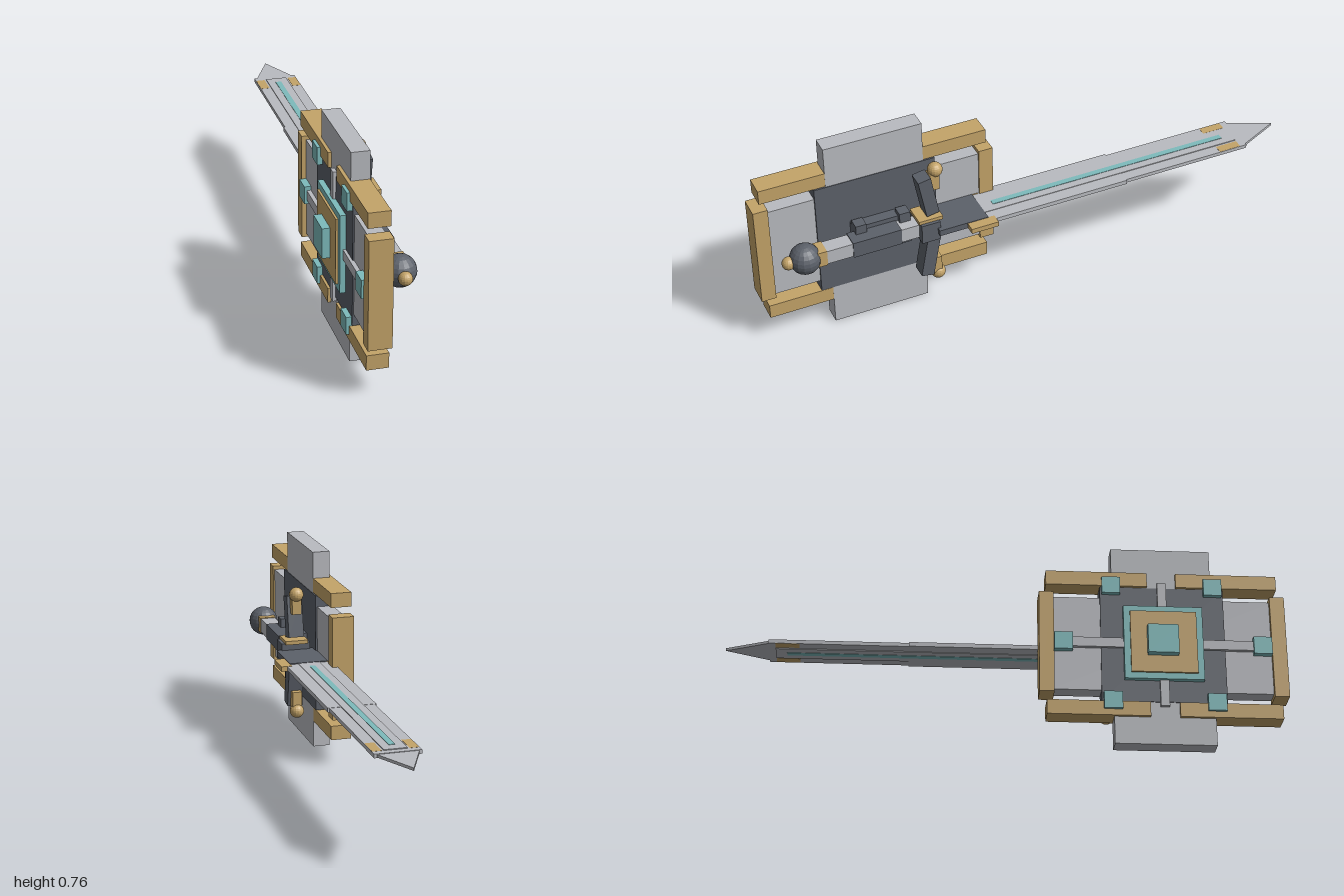
import * as THREE from 'three';

export function createModel() {
  const model = new THREE.Group();
  const mat = (name, color) => {
    const m = new THREE.MeshStandardMaterial({ color, flatShading: true });
    m.name = name;
    return m;
  };
  const steel = mat('light steel', 0xb9bbc0);
  const dark = mat('dark iron', 0x5c616a);
  const gold = mat('gold', 0xc4a469);
  const teal = mat('teal', 0x7dbbbc);

  const add = (parent, name, geometry, material) => {
    const mesh = new THREE.Mesh(geometry, material);
    mesh.name = name;
    parent.add(mesh);
    return mesh;
  };
  // Box given by its extents on each axis
  const box = (parent, name, material, [x0, x1], [y0, y1], [z0, z1]) => {
    const mesh = add(parent, name, new THREE.BoxGeometry(x1 - x0, y1 - y0, z1 - z0), material);
    mesh.position.set((x0 + x1) / 2, (y0 + y1) / 2, (z0 + z1) / 2);
    return mesh;
  };
  const around = (c, h) => [c - h, c + h];
  const ball = (parent, name, material, r, x, y, z) =>
    add(parent, name, new THREE.SphereGeometry(r, 16, 12), material).position.set(x, y, z);

  const Y = 0.382, SZ = 0.558, X = 0.041;

  // ---- Shield, its face toward -x ----
  const shield = new THREE.Group();
  shield.name = 'shield';
  model.add(shield);
  box(shield, 'verticalSlab', steel, [-0.093, -0.028], [0, 0.762], around(SZ, 0.18));
  box(shield, 'horizontalSlab', steel, [-0.092, -0.032], around(Y, 0.181), around(SZ, 0.4));
  box(shield, 'corePanel', dark, [-0.097, -0.026], around(Y, 0.223), around(SZ, 0.223));
  box(shield, 'verticalStrut', steel, [-0.107, -0.09], around(Y, 0.24), around(SZ, 0.016));
  box(shield, 'horizontalStrut', steel, [-0.107, -0.09], around(Y, 0.018), around(SZ, 0.36));
  for (const s of [-1, 1]) {
    box(shield, 'endRim', gold, [-0.108, -0.026], around(Y, 0.195), around(SZ + s * 0.417, 0.0265));
    box(shield, 'sideStud', teal, [-0.116, -0.088], around(Y, 0.033), around(SZ + s * 0.357, 0.033));
    for (const t of [-1, 1]) {
      box(shield, 'cornerRim', gold, [-0.105, -0.0285], around(Y + t * 0.253, 0.027), around(SZ + s * 0.235, 0.183));
      box(shield, 'cornerStud', teal, [-0.116, -0.088], around(Y + t * 0.225, 0.032), around(SZ + s * 0.184, 0.033));
    }
  }
  // Stepped boss
  box(shield, 'bossBase', teal, [-0.117, -0.095], around(Y, 0.142), around(SZ, 0.142));
  box(shield, 'bossPlate', gold, [-0.125, -0.11], around(Y, 0.119), around(SZ, 0.119));
  box(shield, 'bossGem', teal, [-0.153, -0.12], around(Y, 0.055), around(SZ - 0.005, 0.055));
  // Mount joining shield and sword grip
  box(shield, 'gripMount', dark, [-0.027, 0.015], around(Y, 0.048), [0.455, 0.66]);
  for (const z of [0.477, 0.64])
    box(shield, 'mountBand', dark, [-0.011, 0.032], around(Y, 0.065), around(z, 0.02));

  // ---- Sword, pointing toward -z ----
  const sword = new THREE.Group();
  sword.name = 'sword';
  sword.position.set(X, Y, 0);
  model.add(sword);
  box(sword, 'lowerBlade', steel, around(0, 0.087), around(0, 0.008), [-0.345, 0.22]);
  box(sword, 'upperBlade', steel, around(0, 0.081), around(0, 0.007), [-0.845, -0.345]);
  const tip = new THREE.Shape();
  tip.moveTo(-0.074, 0.84);
  tip.lineTo(0.074, 0.84);
  tip.lineTo(0, 1);
  tip.closePath();
  const tipGeo = new THREE.ExtrudeGeometry(tip, { depth: 0.01, bevelEnabled: false });
  tipGeo.translate(0, 0, -0.005).rotateX(-Math.PI / 2);
  add(sword, 'bladeTip', tipGeo, steel);
  box(sword, 'bladeRidge', steel, around(0, 0.04), around(0, 0.01), [-0.82, 0.2]);
  box(sword, 'bladeInlay', teal, around(0, 0.011), around(0, 0.0115), [-0.78, 0.15]);

  // Guard and collar
  box(sword, 'guardPlate', dark, around(0, 0.072), around(0, 0.0115), [0.195, 0.38]);
  box(sword, 'guardBlock', dark, around(0, 0.055), around(0, 0.038), [0.37, 0.44]);
  box(sword, 'guardCap', gold, around(0, 0.043), [0.036, 0.05], [0.355, 0.445]);
  for (const s of [-1, 1]) {
    box(sword, 'bladeTab', gold, around(s * 0.063, 0.0165), around(0, 0.0075), [-0.82, -0.735]);
    box(sword, 'guardWing', gold, around(s * 0.09, 0.02), around(0, 0.0095), [0.172, 0.275]);
    // Swept cross arm with finial
    const arm = box(sword, 'crossArm', dark, around(0, 0.029), around(s * 0.134, 0.078), around(0.4, 0.024));
    arm.rotation.x = s * 0.18;
    box(sword, 'armPost', gold, around(0, 0.018), around(s * 0.185, 0.033), around(0.372, 0.018));
    ball(sword, 'armFinial', gold, 0.027, 0, s * 0.227, 0.363);
  }

  // Grip and pommel
  box(sword, 'grip', steel, around(0, 0.029), around(0, 0.027), [0.43, 0.81]);
  box(sword, 'gripWrap', dark, around(0, 0.032), around(0, 0.031), [0.507, 0.687]);
  box(sword, 'pommelCollar', gold, around(0, 0.031), around(0, 0.03), [0.782, 0.815]);
  ball(sword, 'pommel', dark, 0.056, 0, 0, 0.853);
  ball(sword, 'pommelCap', gold, 0.024, 0, 0, 0.913);

  return model;
}
